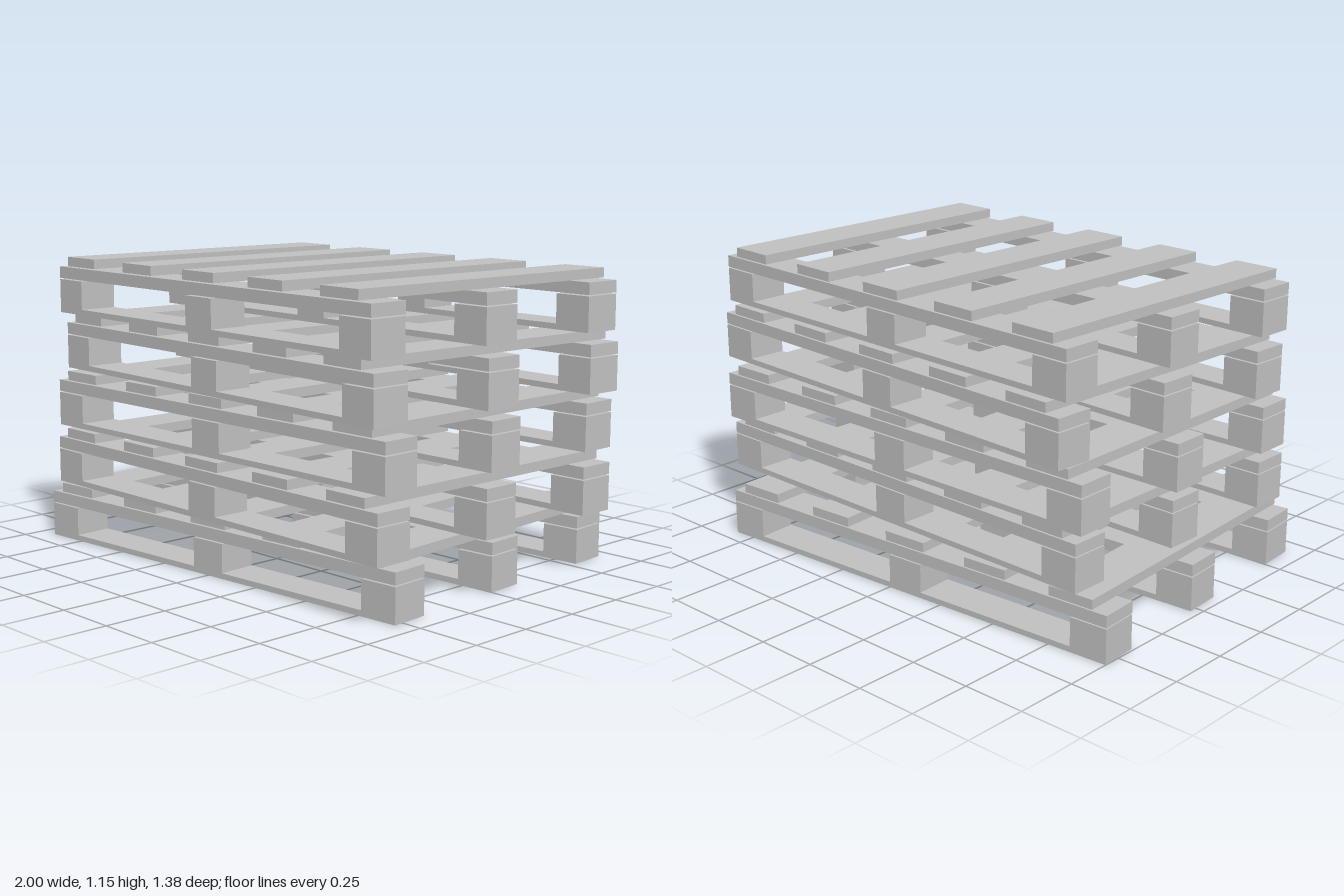
import * as THREE from 'three';

const LENGTH = 1.845, DEPTH = 1.23, BEAM = 0.154;
const PITCH = 0.2305; // height of one pallet in the stack

// Each pallet sits slightly shifted and turned: [x, z, turn]
const STACK = [
  [-0.04, -0.015, 0.0645],
  [0.0425, 0.04, -0.012],
  [0.0165, 0.006, 0.006],
  [0.0475, 0.0095, -0.048],
  [0.0535, 0.04, -0.041],
];

// Runner with three blocks standing on it, extruded across the beam width
function runnerGeometry() {
  const h = LENGTH / 2, b = BEAM, base = 0.022, top = 0.134;
  const shape = new THREE.Shape([
    [-h, 0], [h, 0], [h, top], [h - b, top], [h - b, base],
    [b / 2, base], [b / 2, top], [-b / 2, top], [-b / 2, base],
    [-h + b, base], [-h + b, top], [-h, top],
  ].map(([x, y]) => new THREE.Vector2(x, y)));
  return new THREE.ExtrudeGeometry(shape, { depth: b, bevelEnabled: false }).translate(0, 0, -b / 2);
}

export function createModel() {
  const wood = new THREE.MeshStandardMaterial({ color: 0xc0c0c0 });
  wood.name = 'greyWood';

  const runner = runnerGeometry();
  const stringer = new THREE.BoxGeometry(LENGTH, 0.046, BEAM);
  const slat = new THREE.BoxGeometry(0.187, 0.037, DEPTH);

  const model = new THREE.Group();
  model.name = 'palletStack';

  STACK.forEach(([x, z, turn], level) => {
    const pallet = new THREE.Group();
    pallet.name = `pallet${level + 1}`;
    pallet.position.set(x, level * PITCH, z);
    pallet.rotation.y = turn;

    const add = (name, geometry, px, py, pz) => {
      const mesh = new THREE.Mesh(geometry, wood);
      mesh.name = name;
      mesh.position.set(px, py, pz);
      pallet.add(mesh);
    };

    // Three lengthwise beams: blocks on a runner, with a stringer board above
    for (let i = -1; i <= 1; i++) {
      const pz = i * (DEPTH - BEAM) / 2;
      add('runnerWithBlocks', runner, 0, 0, pz);
      add('stringerBoard', stringer, 0, 0.162, pz);
    }
    // Five deck slats across the top
    for (let i = -2; i <= 2; i++) add('deckSlat', slat, i * 0.384, 0.2085, 0);

    model.add(pallet);
  });
  return model;
}
